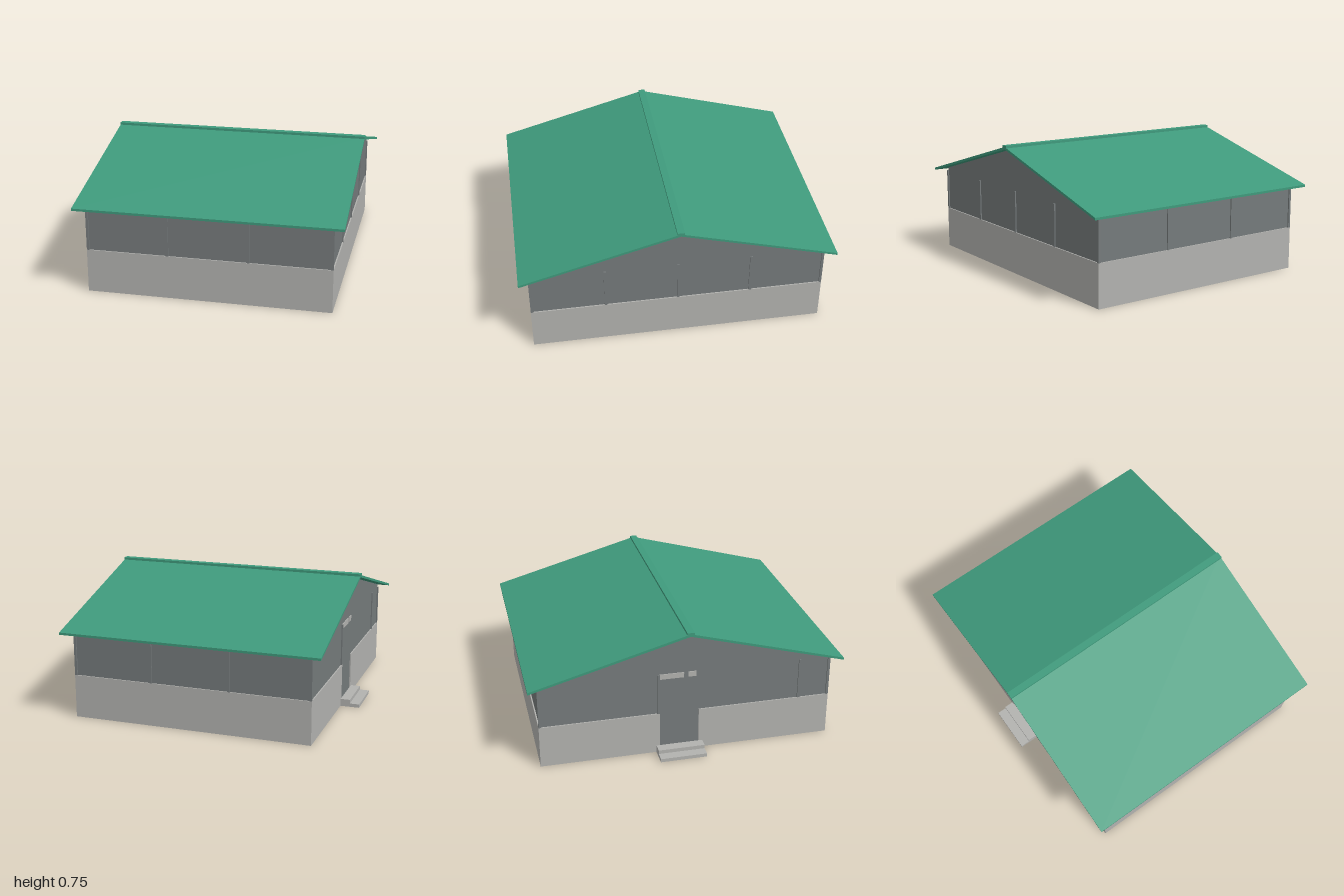
import * as THREE from 'three';

const mat = (name, color) => {
  const m = new THREE.MeshStandardMaterial({ color });
  m.name = name;
  return m;
};

export function createModel() {
  const green = mat('roof green', 0x3f9a7c);
  const grey = mat('wall grey', 0x757a7b);
  const stone = mat('light stone', 0xb2b2af);

  const house = new THREE.Group();
  house.name = 'house';
  const add = (name, geo, material) => {
    const mesh = new THREE.Mesh(geo, material);
    mesh.name = name;
    house.add(mesh);
    return mesh;
  };
  // Box from its lower and upper corners
  const box = (name, a, b, material) => {
    const g = new THREE.BoxGeometry(b[0] - a[0], b[1] - a[1], b[2] - a[2]);
    g.translate((a[0] + b[0]) / 2, (a[1] + b[1]) / 2, (a[2] + b[2]) / 2);
    return add(name, g, material);
  };
  const shape = (pts) => new THREE.Shape(pts.map(([x, y]) => new THREE.Vector2(x, y)));
  // Gable profile (z, y) extruded along the ridge
  const prism = (pts, length) =>
    new THREE.ExtrudeGeometry(shape(pts), { depth: length, bevelEnabled: false })
      .translate(0, 0, -length / 2)
      .rotateY(Math.PI / 2);

  const baseX = 0.683, baseZ = 0.829, baseTop = 0.245;
  const wallX = 0.676, wallZ = 0.822, eave = 0.485;
  const door = [-0.157, 0.066];

  // Plinth with a shallow notch for the doorway
  const plan = [
    [-baseX, -baseZ], [baseX, -baseZ], [baseX, baseZ], [-baseX, baseZ],
    [-baseX, door[1]], [-wallX + 0.004, door[1]], [-wallX + 0.004, door[0]], [-baseX, door[0]],
  ].map(([x, z]) => [x, -z]).reverse();
  add('plinth', new THREE.ExtrudeGeometry(shape(plan), { depth: baseTop, bevelEnabled: false })
    .rotateX(-Math.PI / 2), stone);

  // Walls with both gables
  add('walls', prism([[-wallZ, 0.002], [wallZ, 0.002], [wallZ, 0.505], [0, 0.732], [-wallZ, 0.505]],
    2 * wallX), grey);

  // Posts, flush with the plinth
  const post = (x, z, w = 0.014) =>
    box('post', [x - w / 2, baseTop, z - w / 2], [x + w / 2, eave, z + w / 2], grey);
  const px = baseX - 0.007, pz = baseZ - 0.007;
  for (const s of [-1, 1]) {
    for (let i = 0; i <= 3; i++) post(-px + (2 * px * i) / 3, s * pz);
  }
  for (const z of [-0.41, 0, 0.41]) post(px, z);
  for (const z of [-0.164, 0.65]) post(-px, z);

  // Narrow lights over the door
  for (const [a, b] of [[-0.157, -0.02], [0.005, 0.05]]) {
    box('doorLight', [-wallX - 0.005, 0.457, a], [-wallX, 0.487, b], stone);
  }

  // Door steps
  box('lowerStep', [-0.793, 0, -0.176], [-0.67, 0.02, 0.088], stone);
  box('upperStep', [-0.738, 0.02, -0.176], [-baseX, 0.042, 0.088], stone);

  // Roof slabs and ridge cap
  add('roof', prism([
    [-0.883, 0.487], [0, 0.73], [0.883, 0.487], [0.883, 0.5], [0, 0.744], [-0.883, 0.5],
  ], 1.482), green);
  box('ridgeCap', [-0.742, 0.737, -0.02], [0.742, 0.752, 0.02], green);

  house.rotation.y = -0.172;
  const model = new THREE.Group();
  model.name = 'building';
  model.add(house);
  return model;
}
